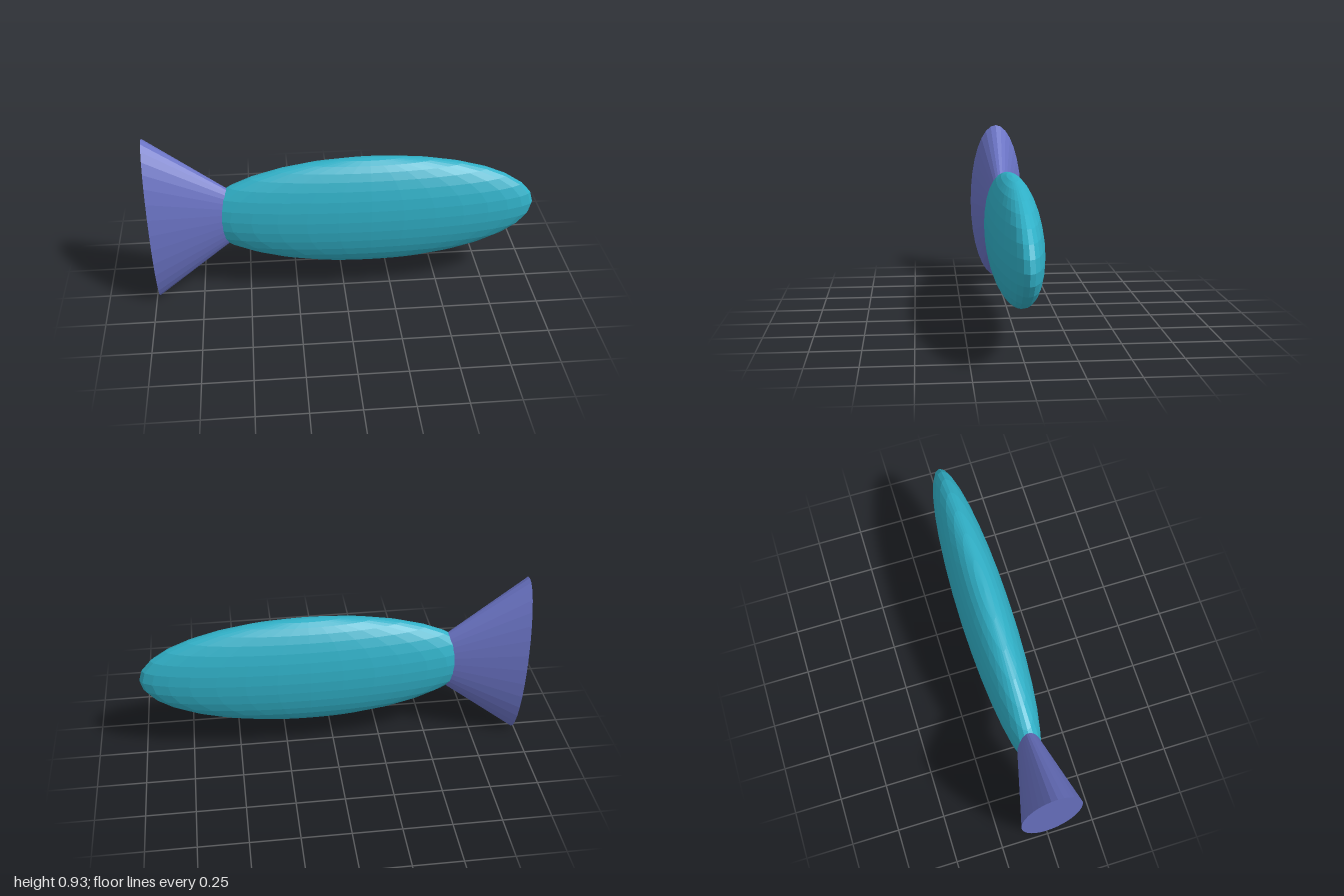
import * as THREE from 'three';

function part(name, geometry, color) {
  const material = new THREE.MeshStandardMaterial({ color, flatShading: true });
  const mesh = new THREE.Mesh(geometry, material);
  mesh.name = name;
  return mesh;
}

export function createModel() {
  const model = new THREE.Group();
  model.name = 'fish';

  // Body: a long, flattened ellipsoid with its nose towards +x
  const body = part('body', new THREE.SphereGeometry(1, 32, 16), 0x30b0c7);
  body.scale.set(0.865, 0.305, 0.133);
  body.position.set(0.13, 0.472, 0);
  model.add(body);

  // Tail: a flattened closed cone, its tip buried in the body, tilted slightly
  const height = 0.604;
  const tilt = 0.0175;
  const tail = part('tail', new THREE.ConeGeometry(1, height, 32), 0x6a73c4);
  tail.geometry.translate(0, height / 2, 0);
  tail.scale.set(0.464, 1, 0.155);
  tail.rotation.z = -Math.PI / 2 + tilt;
  tail.position.set(-0.992, 0.466, 0);
  model.add(tail);

  return model;
}
